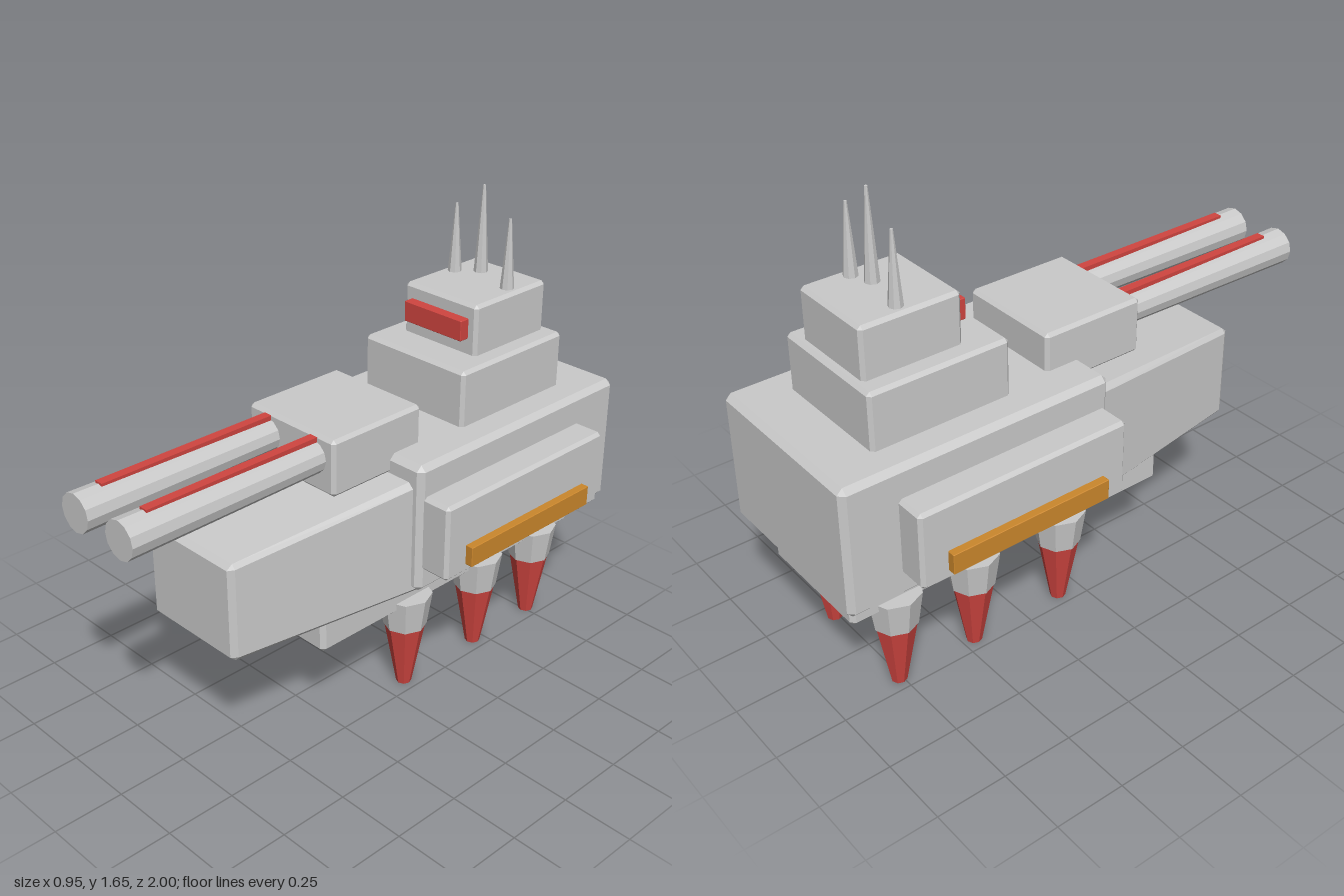
import * as THREE from 'three';
import { ConvexGeometry } from 'three/addons/geometries/ConvexGeometry.js';

export function createModel() {
  const group = new THREE.Group();
  const material = (name, color) => {
    const m = new THREE.MeshStandardMaterial({ color });
    m.name = name;
    m.flatShading = true;
    return m;
  };
  const grey = material('hull grey', 0xcacaca);
  const red = material('signal red', 0xd04540);
  const orange = material('panel orange', 0xcb872c);

  const add = (name, geometry, mat) => {
    const mesh = new THREE.Mesh(geometry, mat);
    mesh.name = name;
    group.add(mesh);
    return mesh;
  };

  // Box with chamfered edges, given by its limits; warp may taper its points
  const chamferBox = (name, mat, [x0, x1], [y0, y1], [z0, z1], bevel, warp) => {
    const points = [];
    for (const sx of [-1, 1]) for (const sy of [-1, 1]) for (const sz of [-1, 1]) {
      for (let axis = 0; axis < 3; axis++) {
        const inset = [bevel, bevel, bevel];
        inset[axis] = 0;
        const p = new THREE.Vector3(
          sx < 0 ? x0 + inset[0] : x1 - inset[0],
          sy < 0 ? y0 + inset[1] : y1 - inset[1],
          sz < 0 ? z0 + inset[2] : z1 - inset[2]);
        if (warp) warp(p);
        points.push(p);
      }
    }
    return add(name, new ConvexGeometry(points), mat);
  };

  // Hull and the keel below it
  chamferBox('hull', grey, [-0.34, 0.34], [0.465, 0.935], [-1, 0], 0.02);
  chamferBox('keel', grey, [-0.23, 0.23], [0.33, 0.5], [-0.935, 0.33], 0.015);

  // Prow, narrowing and sloping down towards the front
  chamferBox('prow', grey, [-0.315, 0.315], [0.445, 0.875], [-0.06, 0.68], 0.02, (p) => {
    const t = (p.z + 0.06) / 0.74;
    p.x *= 1 - 0.37 * t;
    p.y = 0.445 + 0.005 * t + (p.y - 0.445) * (1 - 0.19 * t);
  });

  // Stepped tower with visor
  chamferBox('towerBase', grey, [-0.23, 0.23], [0.9, 1.135], [-0.82, -0.31], 0.012);
  chamferBox('towerTop', grey, [-0.165, 0.165], [1.12, 1.315], [-0.795, -0.437], 0.012);
  chamferBox('visor', red, [-0.13, 0.13], [1.19, 1.263], [-0.46, -0.4], 0.002);

  // Antenna spikes
  for (const [x, y0, y1] of [[-0.12, 1.31, 1.56], [0, 1.345, 1.65], [0.12, 1.31, 1.56]]) {
    add('antenna', new THREE.CylinderGeometry(0.005, 0.025, y1 - y0, 8), grey)
      .position.set(x, (y0 + y1) / 2, -0.64);
  }

  // Gun turret
  chamferBox('turret', grey, [-0.2, 0.2], [0.868, 1.068], [-0.143, 0.25], 0.012);

  for (const side of [-1, 1]) {
    // Gun barrel with a stripe along the top
    const barrel = add('gunBarrel', new THREE.CylinderGeometry(0.066, 0.057, 0.78, 12), grey);
    barrel.rotation.x = Math.PI / 2;
    barrel.position.set(side * 0.108, 0.988, 0.61);
    add('barrelStripe', new THREE.BoxGeometry(0.032, 0.02, 0.68), red)
      .position.set(side * 0.108, 1.048, 0.57);

    // Side armour with a coloured bar
    const span = (a, b) => side > 0 ? [a, b] : [-b, -a];
    chamferBox('sideArmour', grey, span(0.3, 0.445), [0.55, 0.825], [-0.81, -0.018], 0.012);
    chamferBox('sideBar', orange, span(0.42, 0.473), [0.583, 0.656], [-0.715, -0.11], 0.002);

    // Landing legs: collar and tapered foot
    for (const z of [-0.09, -0.455, -0.76]) {
      add('legCollar', new THREE.CylinderGeometry(0.094, 0.076, 0.125, 8), grey)
        .position.set(side * 0.197, 0.307, z);
      add('legFoot', new THREE.CylinderGeometry(0.072, 0.027, 0.245, 8), red)
        .position.set(side * 0.197, 0.1225, z);
    }
  }
  return group;
}
